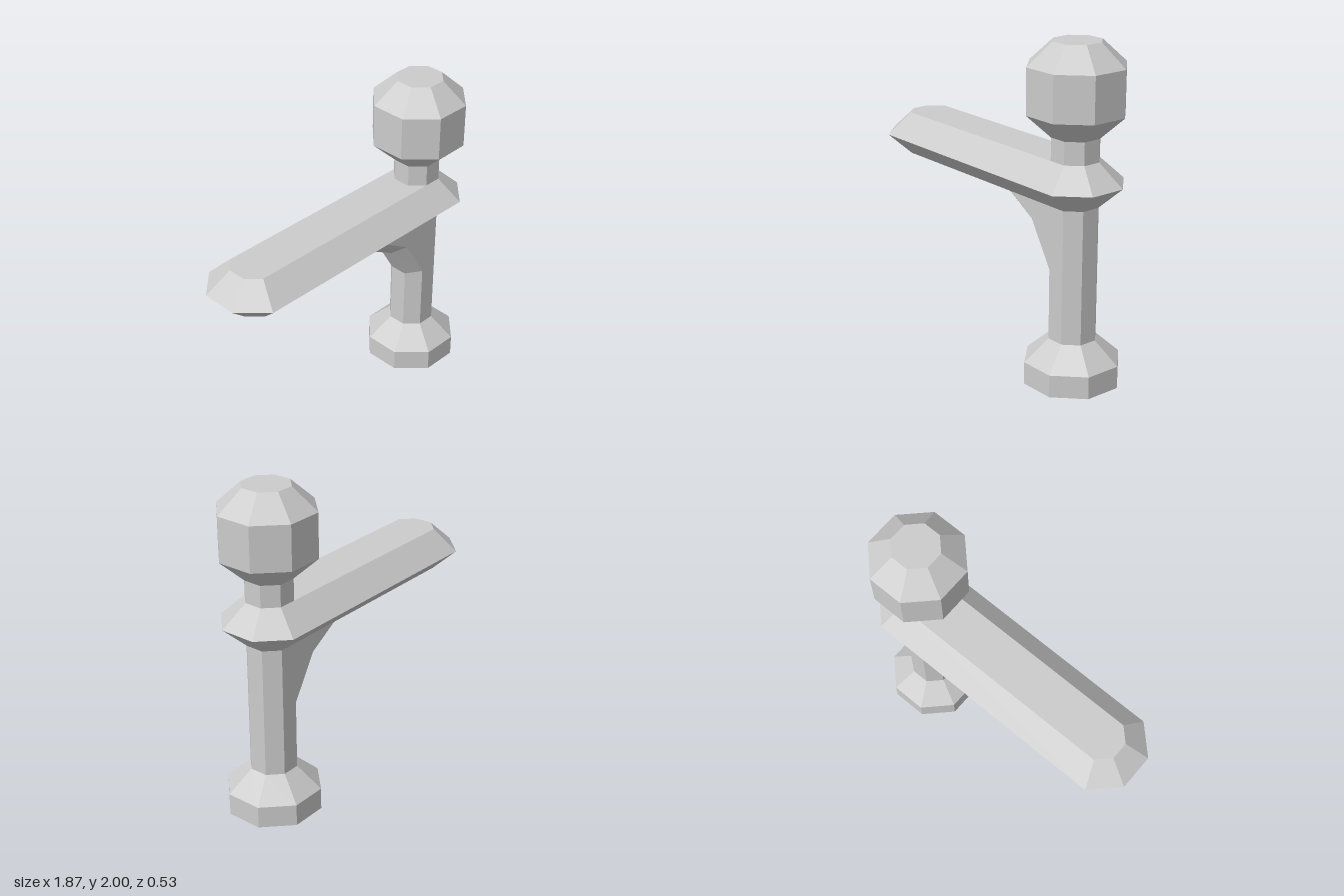
import * as THREE from 'three';

const material = new THREE.MeshStandardMaterial({ color: 0xcccccc, flatShading: true });
const POST_X = 0.667; // post axis
const REACH = 1.333;  // distance between the two end centres of the arm

// Skin a surface through cross-sections of equal point count.
function loft(name, rings, closed) {
  const n = rings[0].length;
  const pos = [];
  const tri = (...pts) => pts.forEach((p) => pos.push(...p));
  for (let j = 0; j < rings.length - 1; j++) {
    for (let i = 0; i < (closed ? n : n - 1); i++) {
      const k = (i + 1) % n;
      const a = rings[j][i], b = rings[j][k], c = rings[j + 1][k], d = rings[j + 1][i];
      tri(a, d, c);
      tri(a, c, b);
    }
  }
  if (closed) {
    const bottom = rings[0], top = rings[rings.length - 1];
    for (let i = 1; i < n - 1; i++) {
      tri(bottom[0], bottom[i], bottom[i + 1]);
      tri(top[0], top[i + 1], top[i]);
    }
  }
  const geometry = new THREE.BufferGeometry();
  geometry.setAttribute('position', new THREE.Float32BufferAttribute(pos, 3));
  geometry.computeVertexNormals();
  const mesh = new THREE.Mesh(geometry, material);
  mesh.name = name;
  return mesh;
}

// Octagon with flats on the axes; its -x half can be pulled out by stretch.
function octagon(r, y, stretch = 0) {
  const R = r / Math.cos(Math.PI / 8);
  return Array.from({ length: 8 }, (_, i) => {
    const a = (i + 0.5) * Math.PI / 4;
    const x = R * Math.cos(a);
    return [POST_X + x - (x < 0 ? stretch : 0), y, R * Math.sin(a)];
  });
}

const turned = (name, profile, stretch) =>
  loft(name, profile.map(([r, y]) => octagon(r, y, stretch)), true);

export function createModel() {
  const group = new THREE.Group();
  group.name = 'signpost';
  const S = 0.133, L = 0.267; // small and large half-widths

  group.add(
    turned('base', [[L, 0], [L, 0.135], [S, 0.267]]),
    turned('post', [[S, 0.267], [S, 1.07]]),
    turned('arm', [[S, 1.07], [L, 1.2], [S, 1.333]], REACH),
    turned('neck', [[S, 1.333], [S, 1.467]]),
    turned('knob', [[S, 1.467], [L, 1.6], [L, 1.867], [S, 2]]),
  );

  // Brace under the arm: a chamfered nose running back flush to the post faces.
  // Each section: nose x, y and shoulder x, y
  const h = S * Math.tan(Math.PI / 8);
  const back = POST_X - h;
  const sections = [
    [0.1, 1.07, 0.265, 1.07],
    [0.4, 0.9, 0.455, 0.955],
    [0.534, 0.672, back, 0.692],
  ];
  group.add(loft('brace', sections.map(([nx, ny, sx, sy]) => [
    [back, sy, -S], [sx, sy, -S], [nx, ny, -h],
    [nx, ny, h], [sx, sy, S], [back, sy, S],
  ]), false));

  return group;
}
